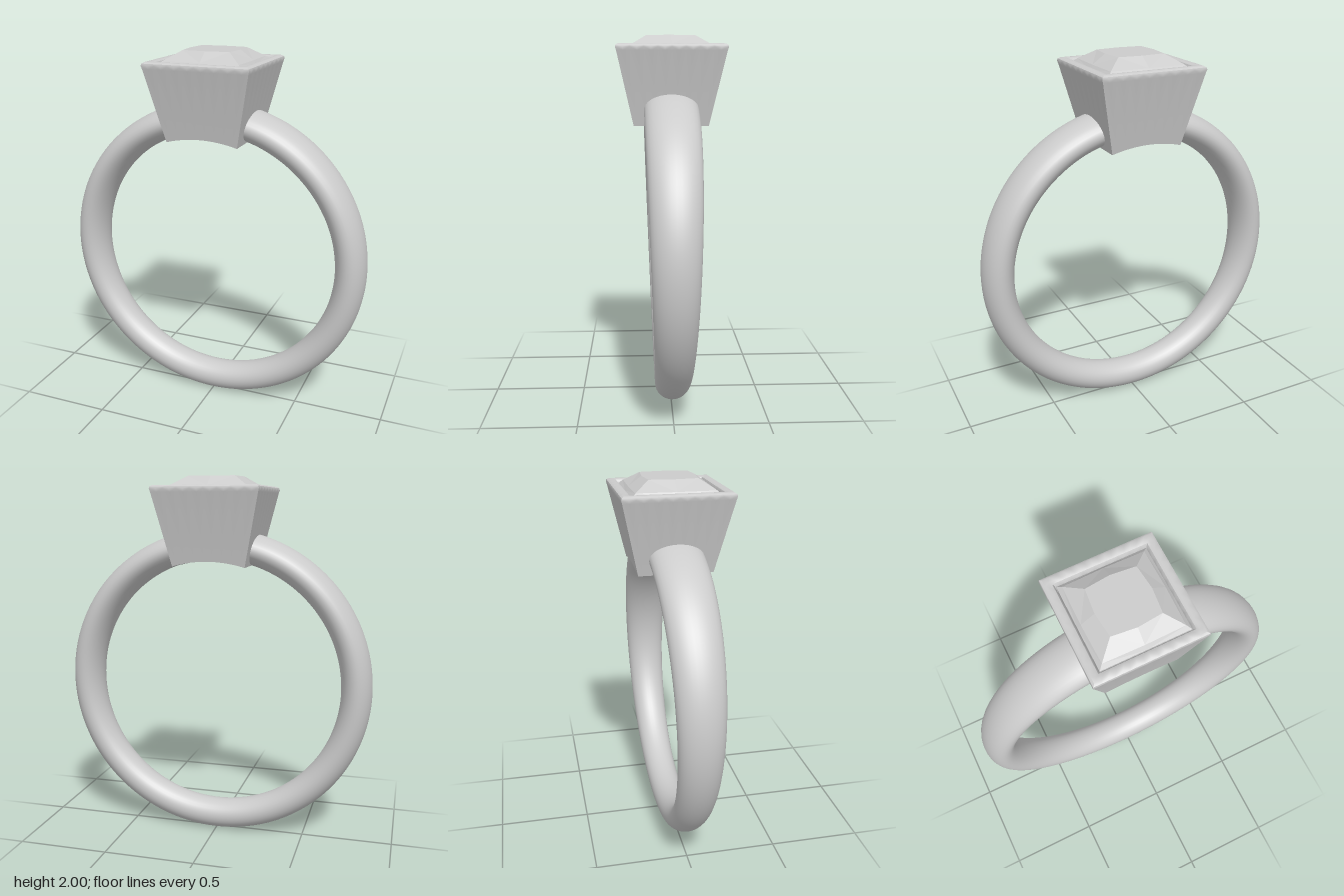
import * as THREE from 'three';
import { mergeVertices, toCreasedNormals } from 'three/addons/utils/BufferGeometryUtils.js';

const CENTRE = 0.865, INNER = 0.695, OUTER = 0.862;
const fingerY = x => CENTRE + Math.sqrt(INNER * INNER - x * x);

// Skins a stack of square rings; place(ring, t, side) gives [along, y, out]
function squareLoft(rings, n, place, closed = false) {
  const positions = [], index = [], count = 4 * n;
  for (const ring of rings) {
    for (let i = 0; i < count; i++) {
      const side = Math.floor(i / n), t = -1 + 2 * (i % n) / n;
      const [x, y, z] = place(ring, t, side);
      const p = new THREE.Vector3(x, y, z).applyAxisAngle(new THREE.Vector3(0, 1, 0), side * Math.PI / 2);
      positions.push(p.x, p.y, p.z);
    }
  }
  const strips = closed ? rings.length : rings.length - 1;
  for (let j = 0; j < strips; j++) {
    const k = (j + 1) % rings.length;
    for (let i = 0; i < count; i++) {
      const i2 = (i + 1) % count;
      const a = j * count + i, b = j * count + i2, c = k * count + i2, d = k * count + i;
      // alternate diagonals keep the facets symmetrical
      if (i % 2) index.push(a, b, c, a, c, d);
      else index.push(a, b, d, b, c, d);
    }
  }
  const geometry = new THREE.BufferGeometry();
  geometry.setAttribute('position', new THREE.Float32BufferAttribute(positions, 3));
  geometry.setIndex(index);
  geometry.computeVertexNormals();
  return geometry;
}

// Oval band that widens from the base towards the setting
function bandGeometry() {
  const gap = 0.247, r = (OUTER - INNER) / 2;
  let g = new THREE.TorusGeometry((OUTER + INNER) / 2, r, 32, 160, Math.PI * 2 - 2 * gap);
  g.rotateZ(Math.PI / 2 + gap);
  g.translate(0, CENTRE, 0);
  const p = g.attributes.position;
  for (let i = 0; i < p.count; i++) {
    const halfWidth = 0.087 + 0.035 * p.getY(i);
    p.setZ(i, p.getZ(i) * halfWidth / r);
  }
  g.deleteAttribute('uv');
  g.deleteAttribute('normal');
  g = mergeVertices(g);
  g.computeVertexNormals();
  return g;
}

// Flared square cup with a rounded rim, an open middle and a finger-shaped underside
function settingGeometry() {
  const profile = [
    [0.197, null], [0.282, 1.915], [0.287, 1.932], [0.284, 1.943], [0.273, 1.95],
    [0.25, 1.95], [0.238, 1.945], [0.23, 1.93], [0.23, 1.9], [0.09, null],
  ];
  const g = squareLoft(profile, 16, ([half, y], t, side) => {
    const x = t * half;
    if (y !== null) return [x, y, half];
    const base = fingerY(half);
    const cutY = side % 2 ? base : fingerY(x);
    return [x, cutY, half + 0.21 * (cutY - base)];
  }, true);
  return toCreasedNormals(g, 0.6);
}

// Square-cut stone: point below, girdle, crown and flat table
function stoneGeometry() {
  const levels = [
    [0, 1.6, 0], [0.12, 1.74, 0.01], [0.226, 1.915, 0], [0.226, 1.93, 0],
    [0.205, 1.95, 0.004], [0.127, 2, 0.013], [0, 2, 0],
  ];
  return squareLoft(levels, 2, ([half, y, bulge], t) =>
    [t * half, y, half + bulge * (1 - Math.abs(t))]);
}

export function createModel() {
  const group = new THREE.Group();
  group.name = 'ring';
  const add = (name, geometry, options = {}) => {
    const mesh = new THREE.Mesh(geometry, new THREE.MeshStandardMaterial({ color: 0xcccccc, ...options }));
    mesh.name = name;
    group.add(mesh);
  };
  add('band', bandGeometry());
  add('setting', settingGeometry());
  add('stone', stoneGeometry(), { flatShading: true });
  return group;
}
